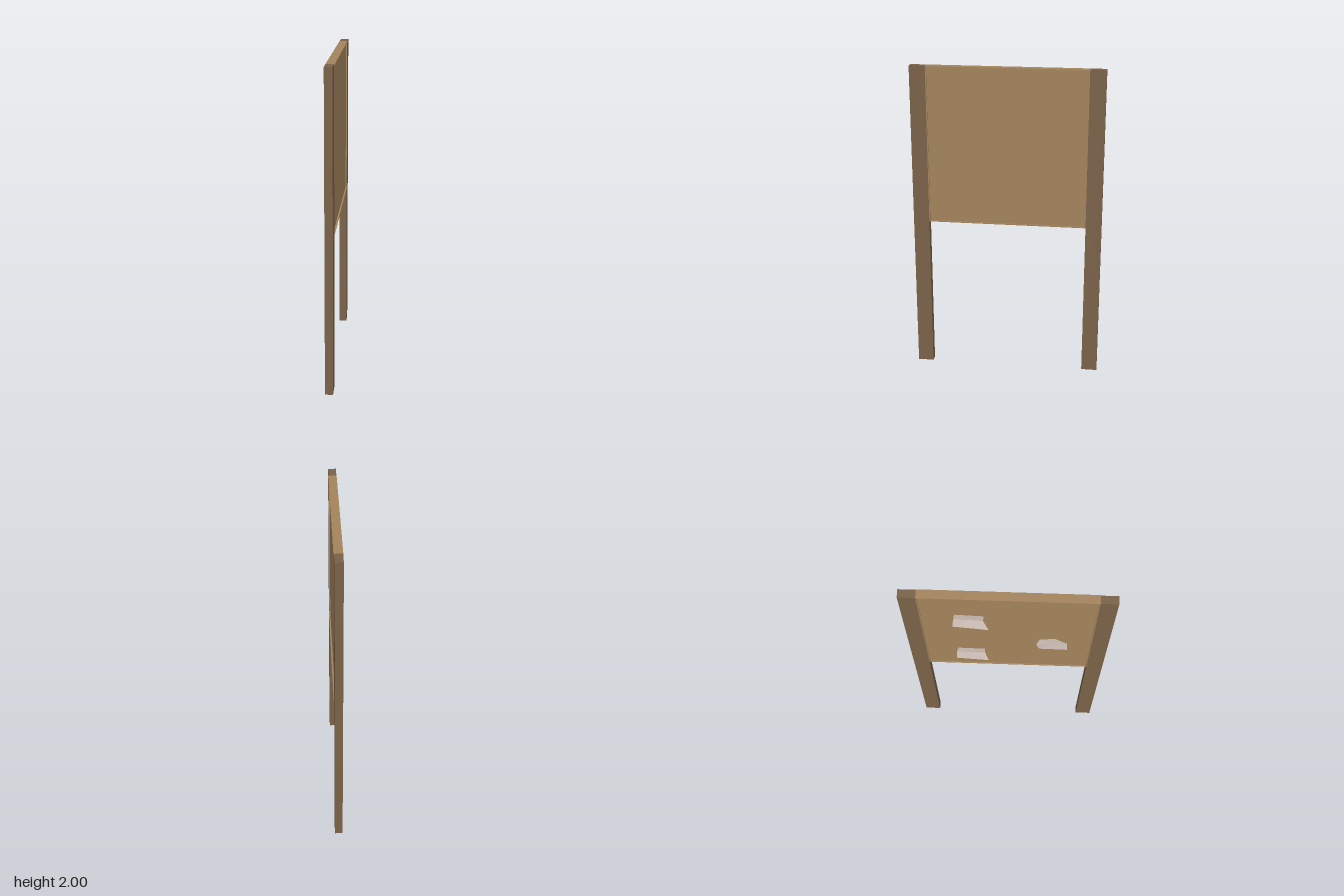
import * as THREE from 'three';

const material = (name, hex, side = THREE.FrontSide) => {
  const m = new THREE.MeshStandardMaterial({ color: hex, side });
  m.name = name;
  return m;
};

// box given by its minimum and maximum corners
function block(name, mat, min, max) {
  const size = max.map((v, i) => v - min[i]);
  const mesh = new THREE.Mesh(new THREE.BoxGeometry(...size), mat);
  mesh.position.set(...max.map((v, i) => (v + min[i]) / 2));
  mesh.name = name;
  return mesh;
}

// creased sheet: a fan of [x, y, z] outline points around a centre point
function sheet(name, mat, centre, outline) {
  const points = [];
  outline.forEach((p, i) => points.push(...centre, ...p, ...outline[(i + 1) % outline.length]));
  const geometry = new THREE.BufferGeometry();
  geometry.setAttribute('position', new THREE.Float32BufferAttribute(points, 3));
  geometry.computeVertexNormals();
  const mesh = new THREE.Mesh(geometry, mat);
  mesh.name = name;
  return mesh;
}

export function createModel() {
  const group = new THREE.Group();
  group.name = 'noticeBoard';
  const darkWood = material('dark wood', 0x7a6148);
  const lightWood = material('light wood', 0xa3835c);
  const paper = material('paper', 0xd9c9c0, THREE.DoubleSide);

  // upright posts
  for (const s of [1, -1]) {
    const post = block(s > 0 ? 'frontPost' : 'backPost', darkWood, [-0.016, 0, -0.05], [0.033, 2, 0.05]);
    post.position.z = s * 0.55;
    group.add(post);
  }

  // recessed panel with a thin rim on all four sides
  const rim = 0.006;
  group.add(block('panel', lightWood, [-0.01, 1 + rim, -0.5 + rim], [0.026, 2 - rim, 0.5 - rim]));
  group.add(block('topRim', lightWood, [-0.017, 2 - rim, -0.5], [0.036, 2, 0.5]));
  group.add(block('bottomRim', lightWood, [-0.017, 1, -0.5], [0.036, 1 + rim, 0.5]));
  for (const s of [1, -1]) {
    const side = block('sideRim', lightWood, [-0.016, 1 + rim, -rim / 2], [0.033, 2 - rim, rim / 2]);
    side.position.z = s * (0.5 - rim / 2);
    group.add(side);
  }

  // curled paper notices pinned to the back of the panel
  group.add(sheet('upperNotice', paper, [-0.018, 1.72, -0.21], [
    [-0.026, 1.81, -0.3], [-0.035, 1.82, -0.135], [-0.022, 1.72, -0.14],
    [-0.036, 1.62, -0.11], [-0.025, 1.63, -0.32], [-0.018, 1.72, -0.31],
  ]));
  group.add(sheet('sideNotice', paper, [-0.02, 1.39, 0.27], [
    [-0.028, 1.48, 0.19], [-0.027, 1.49, 0.28], [-0.02, 1.4, 0.355],
    [-0.016, 1.29, 0.36], [-0.018, 1.3, 0.19], [-0.026, 1.39, 0.17],
  ]));
  group.add(sheet('lowerNotice', paper, [-0.017, 1.2, -0.22], [
    [-0.024, 1.29, -0.3], [-0.03, 1.3, -0.14], [-0.017, 1.2, -0.14],
    [-0.03, 1.1, -0.12], [-0.024, 1.11, -0.32], [-0.016, 1.2, -0.315],
  ]));
  return group;
}
